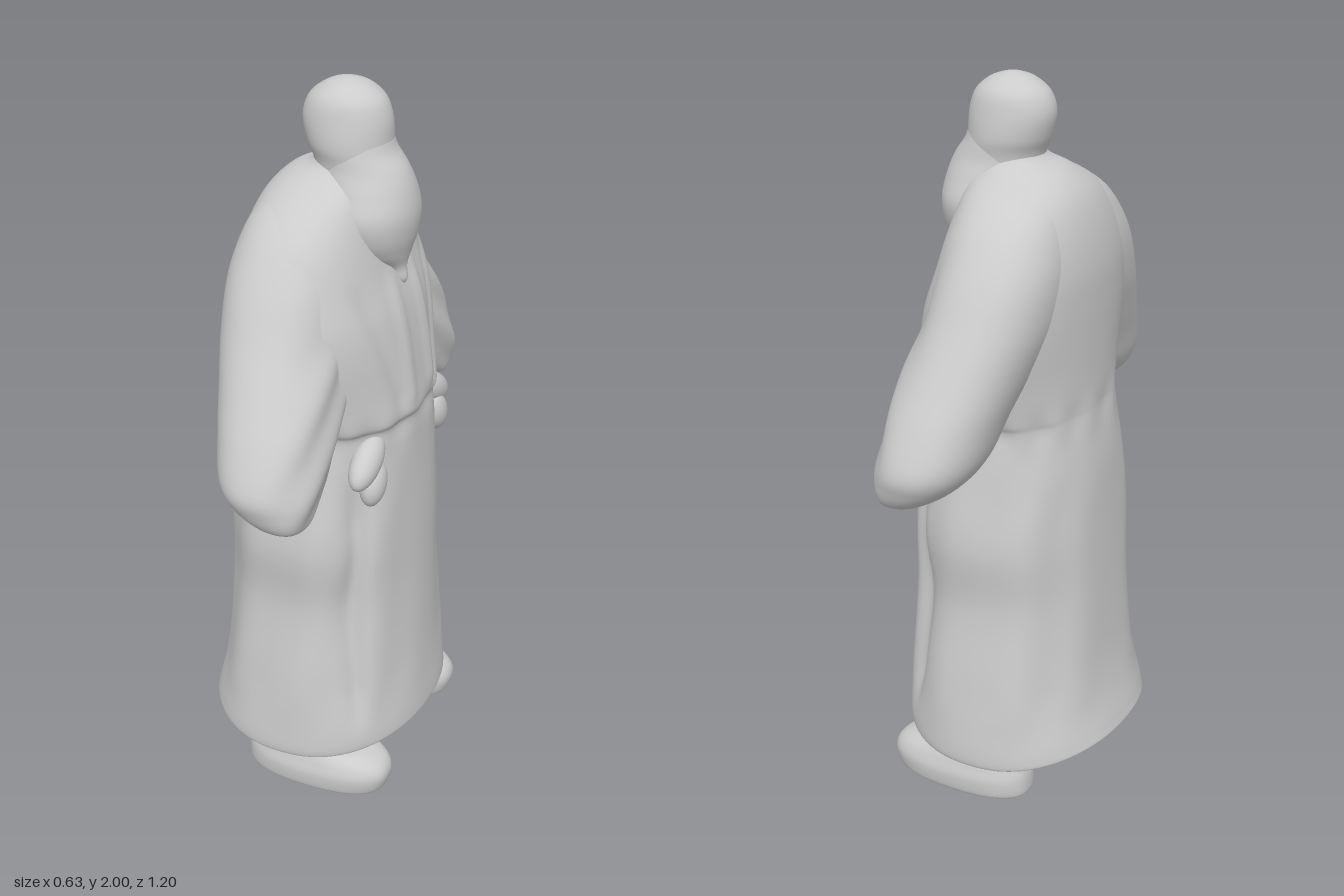
import * as THREE from 'three';

const material = new THREE.MeshStandardMaterial({ color: 0xcccccc, roughness: 0.8, side: THREE.DoubleSide });

// Catmull-Rom blend of one column of the section table
function blend(a, b, c, d, t) {
  return b + 0.5 * t * (c - a + t * (2 * a - 5 * b + 4 * c - d + t * (3 * (b - c) + d - a)));
}

// Skin over horizontal sections [y, xMin, xMax, zMin, zMax]; power(y) squares the outline
function loft(name, keys, { power = () => 2, steps = 6, sides = 64, mirror = 1, shape = null } = {}) {
  const pos = [], index = [], p = new THREE.Vector3();
  const rows = (keys.length - 1) * steps + 1;
  const key = (i) => keys[Math.min(Math.max(i, 0), keys.length - 1)];
  const put = (v) => pos.push(v.x, v.y, v.z * mirror);
  for (let r = 0; r < rows; r++) {
    const k = Math.min(Math.floor(r / steps), keys.length - 2), t = r / steps - k;
    const [y, x0, x1, z0, z1] = key(k).map((_, c) =>
      blend(key(k - 1)[c], key(k)[c], key(k + 1)[c], key(k + 2)[c], t));
    const e = 2 / power(y);
    for (let s = 0; s < sides; s++) {
      const a = (s / sides) * Math.PI * 2, c = Math.cos(a), n = Math.sin(a);
      p.set((x0 + x1) / 2 + (x1 - x0) / 2 * Math.sign(c) * Math.abs(c) ** e, y,
        (z0 + z1) / 2 + (z1 - z0) / 2 * Math.sign(n) * Math.abs(n) ** e);
      if (shape) shape(p, a);
      put(p);
      if (r < rows - 1) {
        const i = r * sides + s, j = r * sides + (s + 1) % sides;
        if (mirror > 0) index.push(i, i + sides, j, j, i + sides, j + sides);
        else index.push(i, j, i + sides, j, j + sides, i + sides);
      }
    }
  }
  // Close both ends with a centre point
  [0, rows - 1].forEach((r, e) => {
    const [y, x0, x1, z0, z1] = key(e ? keys.length - 1 : 0), m = pos.length / 3;
    put(p.set((x0 + x1) / 2, y, (z0 + z1) / 2));
    for (let s = 0; s < sides; s++) {
      const i = r * sides + s, j = r * sides + (s + 1) % sides;
      if ((e === 1) === (mirror > 0)) index.push(m, j, i); else index.push(m, i, j);
    }
  });
  const g = new THREE.BufferGeometry();
  g.setAttribute('position', new THREE.Float32BufferAttribute(pos, 3));
  g.setIndex(index);
  g.computeVertexNormals();
  const mesh = new THREE.Mesh(g, material);
  mesh.name = name;
  return mesh;
}

function blob(name, x, y, z, sx, sy, sz, tilt) {
  const mesh = new THREE.Mesh(new THREE.SphereGeometry(1, 28, 18), material);
  mesh.position.set(x, y, z);
  mesh.scale.set(sx, sy, sz);
  mesh.rotation.x = tilt;
  mesh.name = name;
  return mesh;
}

const bump = (v, centre, width) => Math.exp(-(((v - centre) / width) ** 2));
const smooth = THREE.MathUtils.smoothstep;

// Cloth folds, side slits, lapels and the dipping hem
function drape(p, a) {
  const skirt = smooth(p.y, 0.2, 0.35) * (1 - smooth(p.y, 0.85, 1.05));
  const chest = smooth(p.y, 1.13, 1.2) * (1 - smooth(p.y, 1.45, 1.55));
  const z = Math.abs(p.z);
  let d = 0.005 * skirt * Math.sin(a * 9 + p.y * 3) * (1 - 0.7 * bump(z, 0, 0.18));
  if (p.x > 0) {
    d -= 0.024 * skirt * bump(z, 0.295 - 0.04 * p.y, 0.022);
    d += chest * (0.01 * bump(z, 0.065, 0.02) - 0.01 * bump(z, 0.1 + (p.y - 1.15) * 0.3, 0.025));
  }
  d += 0.004 * Math.sin(a * 14) * bump(p.y, 1.12, 0.05);
  p.x += d * Math.cos(a);
  p.z += d * Math.sin(a);
  p.y -= 0.04 * (z / 0.36) ** 3 * (1 - smooth(p.y, 0.16, 0.4));
}

export function createModel() {
  const model = new THREE.Group();
  model.name = 'robedFigure';

  // Robe, from the shallow underside over the hem and broad shoulders to the neck
  model.add(loft('robe', [
    [0.215, -0.18, 0.18, -0.22, 0.22],
    [0.19, -0.28, 0.285, -0.335, 0.335],
    [0.162, -0.315, 0.312, -0.36, 0.36],
    [0.19, -0.31, 0.314, -0.368, 0.368],
    [0.28, -0.287, 0.305, -0.36, 0.36],
    [0.4, -0.27, 0.295, -0.345, 0.345],
    [0.6, -0.257, 0.285, -0.322, 0.322],
    [0.78, -0.247, 0.278, -0.335, 0.335],
    [0.95, -0.236, 0.27, -0.312, 0.312],
    [1.06, -0.222, 0.264, -0.297, 0.297],
    [1.115, -0.214, 0.258, -0.295, 0.295],
    [1.145, -0.212, 0.267, -0.31, 0.31],
    [1.22, -0.212, 0.258, -0.335, 0.335],
    [1.32, -0.214, 0.243, -0.365, 0.365],
    [1.42, -0.216, 0.222, -0.375, 0.375],
    [1.52, -0.214, 0.19, -0.355, 0.355],
    [1.62, -0.196, 0.165, -0.305, 0.305],
    [1.7, -0.164, 0.145, -0.225, 0.225],
    [1.755, -0.112, 0.13, -0.13, 0.13],
    [1.785, -0.05, 0.12, -0.092, 0.092],
    [1.82, -0.03, 0.11, -0.08, 0.08],
  ], { power: (y) => 2.3 - 0.2 * smooth(y, 1.1, 1.3), sides: 128, shape: drape }));

  // Wide sleeves, shoes and sash ends on both sides
  for (const side of [1, -1]) {
    const label = side > 0 ? 'left' : 'right';
    model.add(loft(label + 'Sleeve', [
      [0.978, 0.08, 0.145, 0.46, 0.53],
      [0.995, 0.02, 0.158, 0.415, 0.565],
      [1.04, -0.052, 0.166, 0.34, 0.59],
      [1.1, -0.095, 0.17, 0.26, 0.6],
      [1.2, -0.122, 0.168, 0.19, 0.557],
      [1.3, -0.15, 0.16, 0.1, 0.5],
      [1.42, -0.18, 0.14, 0.0, 0.43],
      [1.54, -0.188, 0.13, -0.04, 0.363],
      [1.64, -0.168, 0.115, -0.05, 0.29],
      [1.7, -0.135, 0.1, -0.03, 0.22],
      [1.74, -0.08, 0.06, 0.02, 0.14],
    ], {
      power: () => 2.2, mirror: side,
      shape: (p, a) => { p.x += 0.006 * Math.sin(p.y * 40 + p.z * 30) * Math.max(0, Math.cos(a)) * (1 - smooth(p.y, 1.3, 1.5)); },
    }));
    model.add(loft(label + 'Shoe', [
      [0.005, -0.125, 0.26, 0.165, 0.335],
      [0.015, -0.14, 0.278, 0.148, 0.348],
      [0.06, -0.14, 0.29, 0.142, 0.353],
      [0.095, -0.132, 0.272, 0.146, 0.345],
      [0.12, -0.125, 0.22, 0.145, 0.338],
      [0.145, -0.12, 0.13, 0.14, 0.338],
      [0.26, -0.11, 0.09, 0.16, 0.32],
    ], { power: () => 2.4, mirror: side }));
    model.add(blob(label + 'SashKnot', 0.202, 1.055, side * 0.23, 0.04, 0.045, 0.09, side * 0.55));
    model.add(blob(label + 'SashEnd', 0.217, 0.99, side * 0.22, 0.035, 0.065, 0.045, -side * 0.4));
  }

  // Bald head running down into the neck
  model.add(loft('head', [
    [1.7, -0.03, 0.13, -0.09, 0.09],
    [1.79, -0.042, 0.165, -0.1, 0.1],
    [1.84, -0.062, 0.163, -0.107, 0.107],
    [1.9, -0.074, 0.16, -0.101, 0.101],
    [1.95, -0.058, 0.143, -0.088, 0.088],
    [1.982, -0.02, 0.107, -0.058, 0.058],
    [1.996, 0.015, 0.07, -0.025, 0.025],
    [2.0, 0.041, 0.045, -0.002, 0.002],
  ]));

  // Full beard blending into the cheeks and narrowing to a small tip
  model.add(loft('beard', [
    [1.468, 0.19, 0.204, -0.006, 0.006],
    [1.485, 0.165, 0.212, -0.022, 0.022],
    [1.52, 0.12, 0.208, -0.045, 0.045],
    [1.56, 0.06, 0.217, -0.098, 0.098],
    [1.61, 0.02, 0.23, -0.132, 0.132],
    [1.67, -0.005, 0.235, -0.144, 0.144],
    [1.73, -0.02, 0.224, -0.126, 0.126],
    [1.78, -0.03, 0.204, -0.108, 0.108],
    [1.825, -0.02, 0.172, -0.1, 0.1],
    [1.87, 0.0, 0.156, -0.085, 0.085],
    [1.9, 0.02, 0.14, -0.06, 0.06],
  ]));
  return model;
}
